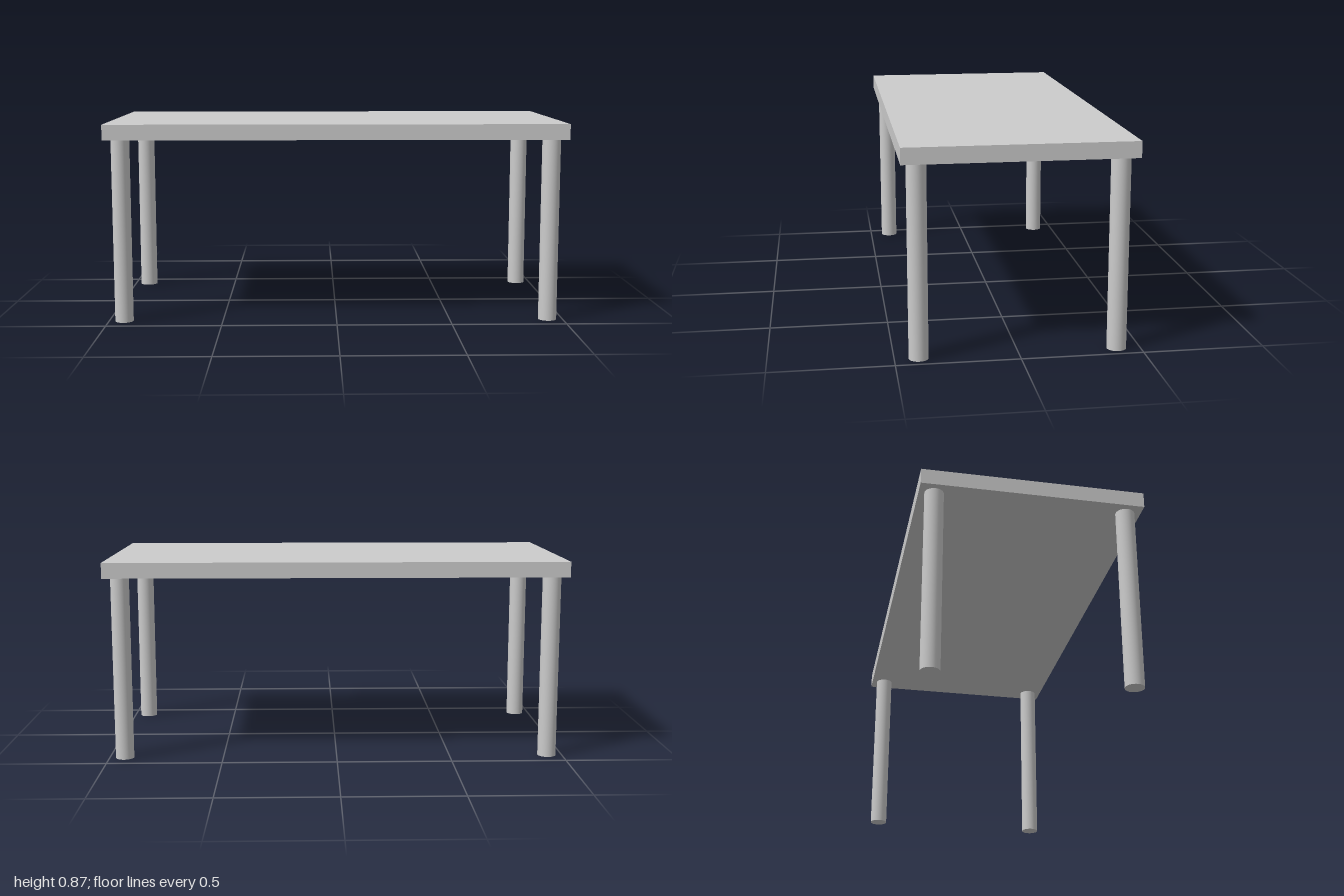
import * as THREE from 'three';

export function createModel() {
  const table = new THREE.Group();
  table.name = 'table';
  const material = new THREE.MeshStandardMaterial({ color: 0xcccccc });

  const legHeight = 0.8;
  const topThickness = 0.067;

  // Flat rectangular slab
  const top = new THREE.Mesh(new THREE.BoxGeometry(2, topThickness, 0.934), material);
  top.name = 'tableTop';
  top.position.y = legHeight + topThickness / 2;
  table.add(top);

  // Four round legs, one near each corner
  const legGeometry = new THREE.CylinderGeometry(0.04, 0.04, legHeight, 32);
  for (const [side, x] of [['Left', 0.933], ['Right', -0.933]]) {
    for (const [end, z] of [['front', 0.403], ['back', -0.403]]) {
      const leg = new THREE.Mesh(legGeometry, material);
      leg.name = `${end}${side}Leg`;
      leg.position.set(x, legHeight / 2, z);
      table.add(leg);
    }
  }

  return table;
}
